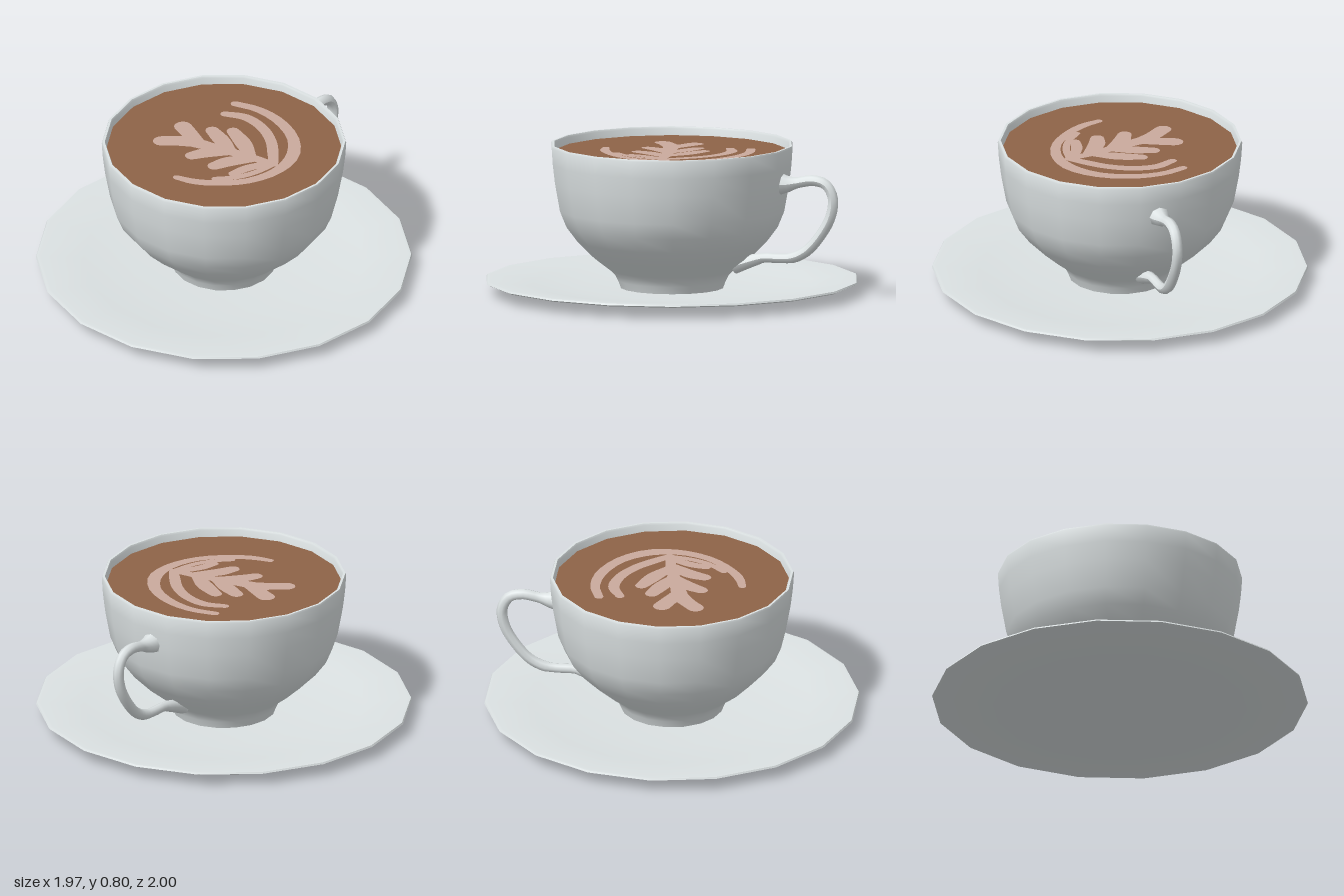
import * as THREE from 'three';
import { toCreasedNormals } from 'three/addons/utils/BufferGeometryUtils.js';

const SIDES = 18;
const LIQUID_Y = 0.755;

const material = (name, color) => {
  const m = new THREE.MeshStandardMaterial({ color });
  m.name = name;
  return m;
};

// Turned part from [radius, height] pairs: outside going up, then inside going down
function turned(profile) {
  const points = profile.map(([r, y]) => new THREE.Vector2(r, y));
  return toCreasedNormals(new THREE.LatheGeometry(points, SIDES), 0.7);
}

// Round-ended ribbon through [x, z, halfWidth] points, lying flat
function stroke(points) {
  const curve = new THREE.CatmullRomCurve3(points.map((p) => new THREE.Vector3(...p)));
  const steps = 24;
  const left = [], right = [];
  const cap = (c, angle) => {
    const out = [];
    for (let k = 1; k < 6; k++) {
      const a = angle - (k / 6) * Math.PI;
      out.push(new THREE.Vector2(c.x + Math.cos(a) * c.z, -c.y + Math.sin(a) * c.z));
    }
    return out;
  };
  let endCap, startCap;
  for (let i = 0; i <= steps; i++) {
    const c = curve.getPoint(i / steps);
    const t = curve.getTangent(i / steps);
    const a = Math.atan2(-t.y, t.x) + Math.PI / 2;
    const dx = Math.cos(a) * c.z, dy = Math.sin(a) * c.z;
    left.push(new THREE.Vector2(c.x + dx, -c.y + dy));
    right.unshift(new THREE.Vector2(c.x - dx, -c.y - dy));
    if (i === 0) startCap = cap(c, a + Math.PI);
    if (i === steps) endCap = cap(c, a);
  }
  const shape = new THREE.Shape([...left, ...endCap, ...right, ...startCap]);
  return new THREE.ShapeGeometry(shape).rotateX(-Math.PI / 2);
}

// Tube whose roots widen where they blend into the cup
function handleGeometry() {
  const path = new THREE.CatmullRomCurve3([
    [0.6, 0.615], [0.65, 0.615], [0.71, 0.625], [0.8, 0.64], [0.87, 0.62], [0.908, 0.55],
    [0.895, 0.45], [0.84, 0.35], [0.76, 0.26], [0.68, 0.22], [0.6, 0.213], [0.52, 0.212],
    [0.44, 0.19], [0.35, 0.16],
  ].map(([x, y]) => new THREE.Vector3(x, y, 0)));
  const rings = 40, around = 8;
  const geometry = new THREE.TubeGeometry(path, rings, 0.029, around);
  const pos = geometry.attributes.position;
  const v = new THREE.Vector3();
  for (let i = 0; i <= rings; i++) {
    const t = i / rings;
    const centre = path.getPointAt(t);
    const flare = 1 + 1.2 * Math.max(0, 1 - t / 0.09) + 0.5 * Math.max(0, (t - 0.86) / 0.14);
    const thin = t > 0.7 && t < 0.86 ? 0.9 : 1;
    for (let j = 0; j <= around; j++) {
      const k = i * (around + 1) + j;
      v.fromBufferAttribute(pos, k).sub(centre).multiplyScalar(flare * thin).add(centre);
      pos.setXYZ(k, v.x, v.y, v.z);
    }
  }
  geometry.computeVertexNormals();
  return geometry;
}

export function createModel() {
  const group = new THREE.Group();
  const porcelain = material('porcelain', 0xdce2e3);
  const coffee = material('coffee', 0x8e6347);
  const foam = material('milk foam', 0xcaaa9d);

  const add = (name, geometry, mat, parent = group) => {
    const mesh = new THREE.Mesh(geometry, mat);
    mesh.name = name;
    parent.add(mesh);
    return mesh;
  };

  // Shallow dish with a flat base
  add('saucer', turned([
    [0, 0], [0.48, 0], [0.75, 0.032], [0.985, 0.06], [1, 0.067], [0.995, 0.076],
    [0.98, 0.077], [0.75, 0.052], [0.5, 0.03], [0, 0.028],
  ]), porcelain);

  // Bowl on a small foot ring, with a thin rim
  add('cup', turned([
    [0, 0.03], [0.275, 0.03], [0.29, 0.07], [0.305, 0.1], [0.33, 0.125], [0.42, 0.195],
    [0.51, 0.285], [0.57, 0.365], [0.605, 0.45], [0.632, 0.6], [0.644, 0.7], [0.65, 0.79],
    [0.646, 0.8], [0.634, 0.8], [0.629, 0.79], [0.622, 0.7], [0.6, 0.55], [0.54, 0.4],
    [0.4, 0.25], [0, 0.16],
  ]), porcelain);

  add('handle', handleGeometry(), porcelain);

  // Liquid surface with matching sides
  const surface = new THREE.CircleGeometry(0.628, SIDES, Math.PI / 2).rotateX(-Math.PI / 2);
  add('coffeeSurface', surface, coffee).position.y = LIQUID_Y;

  // Leaf pattern in milk foam
  const art = new THREE.Group();
  art.name = 'foamLeaf';
  art.position.y = LIQUID_Y + 0.003;
  group.add(art);
  const strokes = {
    stem: [[-0.06, -0.16, 0.045], [-0.02, 0, 0.035], [0.02, 0.15, 0.03], [0.045, 0.3, 0.025]],
    topLeft: [[-0.16, -0.3, 0.045], [-0.11, -0.24, 0.045], [-0.06, -0.17, 0.05]],
    topRight: [[0.02, -0.3, 0.048], [-0.01, -0.23, 0.045], [-0.05, -0.16, 0.05]],
    upperRight: [[0.09, -0.155, 0.037], [0.05, -0.06, 0.045], [0, 0.04, 0.035]],
    lowerRight: [[0.155, -0.065, 0.035], [0.1, 0.05, 0.045], [0.03, 0.16, 0.03]],
    upperLeft: [[-0.165, -0.085, 0.037], [-0.09, -0.04, 0.045], [0, 0.05, 0.035]],
    lowerLeft: [[-0.165, 0.07, 0.037], [-0.09, 0.1, 0.045], [0.02, 0.18, 0.035]],
    baseLeft: [[-0.16, 0.195, 0.026], [-0.08, 0.215, 0.03], [0.03, 0.27, 0.025]],
    outerArc: [
      [0.365, -0.225, 0.024], [0.4, -0.1, 0.026], [0.385, 0.06, 0.03], [0.3, 0.23, 0.032],
      [0.16, 0.335, 0.036], [0, 0.355, 0.03], [-0.16, 0.3, 0.026], [-0.28, 0.19, 0.026],
      [-0.35, 0.08, 0.026], [-0.378, -0.015, 0.02],
    ],
    innerRight: [
      [0.255, -0.205, 0.024], [0.3, -0.1, 0.03], [0.28, 0.03, 0.03], [0.21, 0.15, 0.03],
      [0.13, 0.23, 0.03], [0.05, 0.3, 0.025],
    ],
    innerLeft: [[-0.26, 0.15, 0.018], [-0.18, 0.225, 0.02], [-0.08, 0.275, 0.02], [0.04, 0.3, 0.02]],
  };
  for (const [name, points] of Object.entries(strokes)) add(name, stroke(points), foam, art);

  return group;
}
